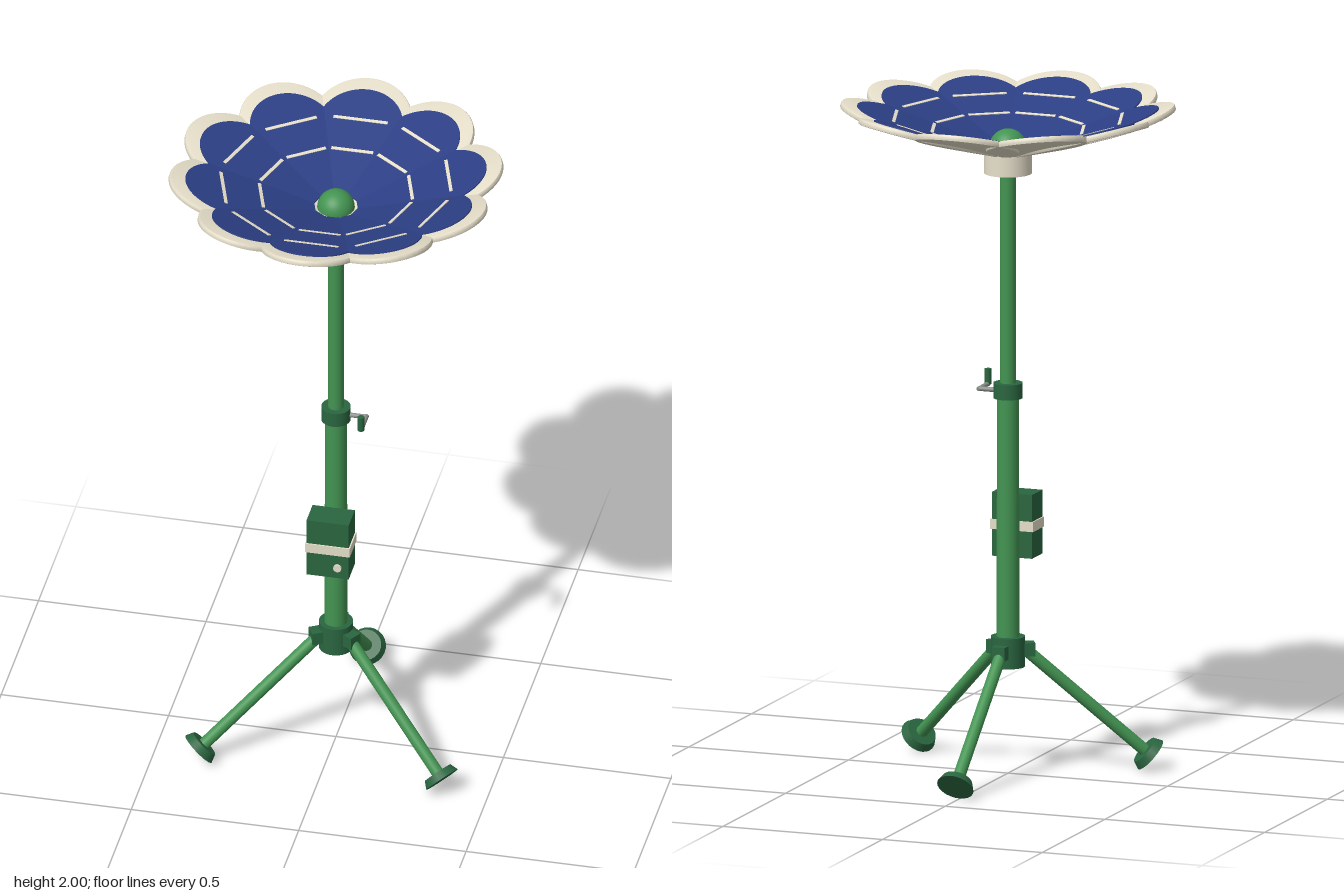
import * as THREE from 'three';
import { toCreasedNormals } from 'three/addons/utils/BufferGeometryUtils.js';

const material = (color) => new THREE.MeshStandardMaterial({ color });
const green = material(0x439452);
const darkGreen = material(0x2a6640);
const cream = material(0xe6dfca);
const blue = material(0x2c3f85);
const grey = material(0x8a8f8a);

const PETALS = 10;
const TILT = 0.3;

function add(parent, name, geometry, mat, x = 0, y = 0, z = 0) {
  const mesh = new THREE.Mesh(geometry, mat);
  mesh.name = name;
  mesh.position.set(x, y, z);
  parent.add(mesh);
  return mesh;
}

// Upright cylinder between two heights
function post(parent, name, mat, y0, y1, rBottom, rTop = rBottom) {
  return add(parent, name, new THREE.CylinderGeometry(rTop, rBottom, y1 - y0, 32), mat, 0, (y0 + y1) / 2, 0);
}

// Cylinder joining two points, r0 at the start and r1 at the end
function rod(parent, name, mat, from, to, r0, r1 = r0) {
  const a = new THREE.Vector3(...from);
  const dir = new THREE.Vector3(...to).sub(a);
  const mesh = add(parent, name, new THREE.CylinderGeometry(r1, r0, dir.length(), 24), mat);
  mesh.position.copy(a).addScaledVector(dir, 0.5);
  mesh.quaternion.setFromUnitVectors(new THREE.Vector3(0, 1, 0), dir.normalize());
  return mesh;
}

// Petal plate pointing to -z: narrow root, round tip
function petalGeometry(rootY, rootHalf, centre, radius, depth, bevel) {
  const s = new THREE.Shape();
  s.moveTo(rootHalf, rootY);
  s.bezierCurveTo(rootHalf + 0.04, rootY + 0.09, radius, centre - 0.13, radius, centre);
  s.absarc(0, centre, radius, 0, Math.PI, false);
  s.bezierCurveTo(-radius, centre - 0.13, -rootHalf - 0.04, rootY + 0.09, -rootHalf, rootY);
  const g = new THREE.ExtrudeGeometry(s, {
    depth: depth - 2 * bevel, curveSegments: 28, bevelEnabled: bevel > 0,
    bevelSize: bevel, bevelThickness: bevel, bevelOffset: -bevel, bevelSegments: 2,
  });
  g.translate(0, 0, bevel);
  // stretch along the slope so the tip is round seen from above
  g.scale(1, 1 / Math.cos(TILT), 1);
  g.rotateX(-Math.PI / 2);
  return toCreasedNormals(g, 0.6);
}

function createFlower() {
  const flower = new THREE.Group();
  flower.name = 'solarFlower';
  const backing = petalGeometry(0.03, 0.02, 0.345, 0.146, 0.018, 0.004);
  const panel = petalGeometry(0.068, 0.026, 0.32, 0.126, 0.004, 0);
  const strips = [[0.225, 0.125], [0.336, 0.162]];
  for (let i = 0; i < PETALS; i++) {
    const petal = new THREE.Group();
    petal.name = 'petal';
    petal.rotation.set(TILT, (i * 2 * Math.PI) / PETALS, 0, 'YXZ');
    petal.position.y = 1.83;
    add(petal, 'petalBacking', backing, cream);
    add(petal, 'solarPanel', panel, blue, 0, 0.0175, 0);
    for (const [r, length] of strips) {
      add(petal, 'panelStrip', new THREE.BoxGeometry(length, 0.005, 0.01), cream, 0, 0.021, -r / Math.cos(TILT));
    }
    flower.add(petal);
  }
  post(flower, 'hub', cream, 1.79, 1.866, 0.07);
  add(flower, 'centreDome', new THREE.SphereGeometry(0.055, 32, 20), green, 0, 1.866, 0);
  return flower;
}

function createTripod() {
  const tripod = new THREE.Group();
  tripod.name = 'tripod';
  post(tripod, 'tripodCollar', darkGreen, 0.32, 0.41, 0.05);
  for (let i = 0; i < 3; i++) {
    const leg = new THREE.Group();
    leg.name = 'leg';
    leg.rotation.y = (i * 2 * Math.PI) / 3;
    add(leg, 'legBracket', new THREE.BoxGeometry(0.04, 0.04, 0.04), darkGreen, 0, 0.37, -0.058);
    rod(leg, 'legTube', green, [0, 0.37, -0.05], [0, 0.058, -0.402], 0.018);
    rod(leg, 'foot', darkGreen, [0, 0.058, -0.402], [0, 0.042, -0.42], 0.045, 0.055);
    tripod.add(leg);
  }
  return tripod;
}

function createControlBox() {
  const box = new THREE.Group();
  box.name = 'controlBox';
  add(box, 'boxBody', new THREE.BoxGeometry(0.126, 0.19, 0.082), darkGreen, 0, 0.733, 0.072);
  add(box, 'boxBand', new THREE.BoxGeometry(0.134, 0.03, 0.088), cream, 0, 0.733, 0.073);
  rod(box, 'boxButton', cream, [0.03, 0.675, 0.11], [0.03, 0.675, 0.12], 0.012);
  return box;
}

function createCrank() {
  const crank = new THREE.Group();
  crank.name = 'crank';
  rod(crank, 'crankShaft', grey, [0.03, 1.14, 0], [0.09, 1.14, 0], 0.007);
  rod(crank, 'crankArm', grey, [0.09, 1.14, -0.005], [0.09, 1.14, 0.07], 0.007);
  rod(crank, 'crankHandle', darkGreen, [0.09, 1.14, 0.07], [0.09, 1.186, 0.07], 0.01);
  return crank;
}

export function createModel() {
  const model = new THREE.Group();
  model.name = 'solarFlowerStand';
  // Telescopic mast
  post(model, 'lowerMast', green, 0.34, 1.14, 0.034, 0.032);
  post(model, 'upperMast', green, 1.1, 1.8, 0.023);
  post(model, 'mastCollar', darkGreen, 1.12, 1.165, 0.043);
  model.add(createFlower(), createTripod(), createControlBox(), createCrank());
  return model;
}
